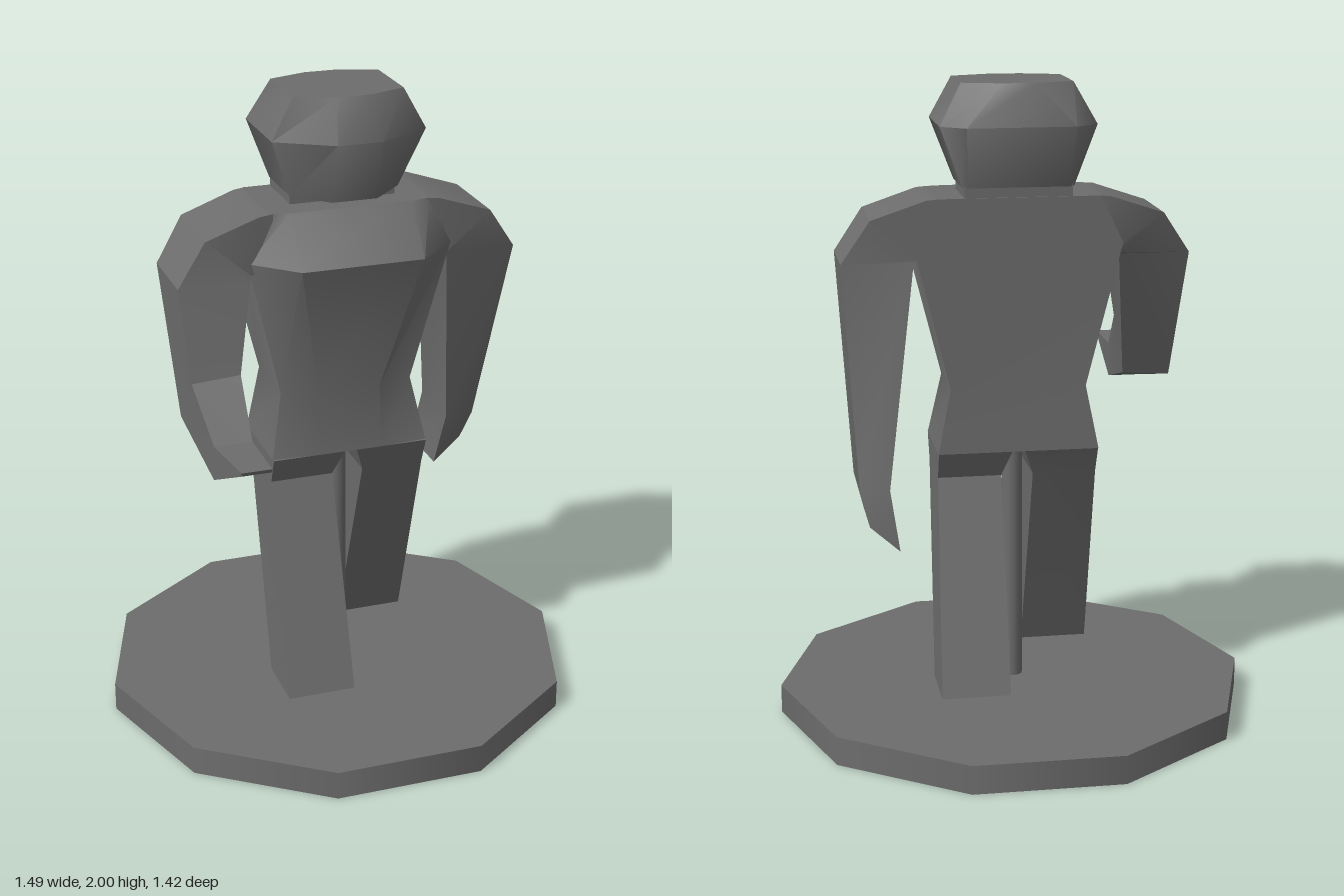
import * as THREE from 'three';
import { toCreasedNormals } from 'three/addons/utils/BufferGeometryUtils.js';

const material = new THREE.MeshStandardMaterial({ color: 0x6d6d6d });

// Skins a list of point rings (counter-clockwise seen from the last ring) and caps both ends.
function loft(rings, crease, flip = false) {
  const pos = [];
  const tri = (a, b, c) => pos.push(...a, ...(flip ? c : b), ...(flip ? b : c));
  const n = rings[0].length;
  for (let r = 0; r < rings.length - 1; r++) {
    for (let i = 0; i < n; i++) {
      const j = (i + 1) % n, a = rings[r], b = rings[r + 1];
      tri(a[i], a[j], b[j]);
      tri(a[i], b[j], b[i]);
    }
  }
  const first = rings[0], last = rings[rings.length - 1];
  for (let i = 1; i < n - 1; i++) {
    tri(first[0], first[i + 1], first[i]);
    tri(last[0], last[i], last[i + 1]);
  }
  const geo = new THREE.BufferGeometry();
  geo.setAttribute('position', new THREE.Float32BufferAttribute(pos, 3));
  return toCreasedNormals(geo, crease);
}

export function createModel() {
  const group = new THREE.Group();
  const add = (name, geo, x = 0, y = 0, z = 0) => {
    const mesh = new THREE.Mesh(geo, material);
    mesh.name = name;
    mesh.position.set(x, y, z);
    group.add(mesh);
  };

  // Ten-sided stand with a softly shaded rim, and its pole
  add('base', new THREE.CylinderGeometry(0.745, 0.745, 0.09, 10).rotateY(Math.PI / 2), 0, 0.045, 0);
  add('pole', new THREE.CylinderGeometry(0.033, 0.033, 0.81, 12), 0, 0.485, 0);

  // Torso: y, front half width, front z, side half width, side front z, back z
  const torso = [
    [0.87, 0.1, 0.15, 0.25, 0.14, -0.14],
    [1.07, 0.1, 0.13, 0.21, 0.1, -0.13],
    [1.515, 0.19, 0.265, 0.32, 0.14, -0.14],
    [1.66, 0.19, 0.148, 0.25, 0.135, -0.14],
  ].map(([y, fx, fz, sx, sz, bz]) => [
    [-fx, y, fz], [fx, y, fz], [sx, y, sz], [sx, y, bz], [-sx, y, bz], [-sx, y, sz],
  ]);
  add('torso', loft(torso, 0.72));

  // Neck
  add('neck', new THREE.BoxGeometry(0.33, 0.1, 0.2), 0, 1.66, -0.035);

  // Rounded head: y, side half width and z range, front half width and z, back half width and z
  const head = [
    [1.69, 0.17, 0.08, -0.125, 0.07, 0.18, 0.155, -0.14],
    [1.875, 0.238, 0.13, -0.135, 0.07, 0.23, 0.165, -0.195],
    [2.0, 0.17, 0.12, -0.1, 0.05, 0.165, 0.05, -0.14],
  ].map(([y, sx, sf, sb, fx, fz, bx, bz]) => [
    [-fx, y, fz], [fx, y, fz], [sx, y, sf], [sx, y, sb],
    [bx, y, bz], [-bx, y, bz], [-sx, y, sb], [-sx, y, sf],
  ]);
  add('head', loft(head, 0.8));

  // Striding legs: y, inner x, outer x, front z, back z
  const leg = (name, side, foot) => {
    const rings = [[0.145, 0.055, 0.268, ...foot], [0.785, 0.05, 0.248, 0.115, -0.1],
      [0.87, 0.02, 0.249, 0.149, -0.139]].map(([y, xi, xo, zf, zb]) => [
      [side * xi, y, zf], [side * xo, y, zf], [side * xo, y, zb], [side * xi, y, zb],
    ]);
    add(name, loft(rings, 0.3, side < 0));
  };
  leg('leftLeg', 1, [-0.13, -0.33]);
  leg('rightLeg', -1, [0.35, 0.155]);

  // Arms: inner x, inner y, outer x, outer y, front z, back z, drop of the back edge
  const arm = (name, side, sections) => {
    const rings = sections.map(([xi, yi, xo, yo, zf, zb, drop = 0]) => [
      [side * xi, yi, zf], [side * xi, yi - drop, zb],
      [side * xo, yo - drop, zb], [side * xo, yo, zf],
    ]);
    add(name, loft(rings, 0.5, side < 0));
  };
  arm('leftArm', 1, [
    [0.24, 1.5, 0.24, 1.66, 0.14, -0.14],
    [0.28, 1.49, 0.28, 1.657, 0.14, -0.14],
    [0.31, 1.48, 0.45, 1.6, 0.135, -0.14],
    [0.32, 1.47, 0.54, 1.47, 0.11, -0.14],
    [0.42, 0.82, 0.51, 0.82, -0.11, -0.33],
    [0.395, 0.64, 0.485, 0.72, -0.15, -0.365],
  ]);
  arm('rightArm', -1, [
    [0.24, 1.5, 0.24, 1.66, 0.14, -0.14],
    [0.28, 1.49, 0.28, 1.657, 0.143, -0.135],
    [0.31, 1.48, 0.45, 1.6, 0.15, -0.12],
    [0.32, 1.47, 0.54, 1.47, 0.17, -0.08],
    [0.375, 1.21, 0.525, 1.2, 0.24, 0.1, 0.16],
    [0.395, 1.075, 0.51, 1.075, 0.42, 0.41, 0.11],
    [0.395, 1.075, 0.485, 1.075, 0.617, 0.612, 0.012],
  ]);

  return group;
}
